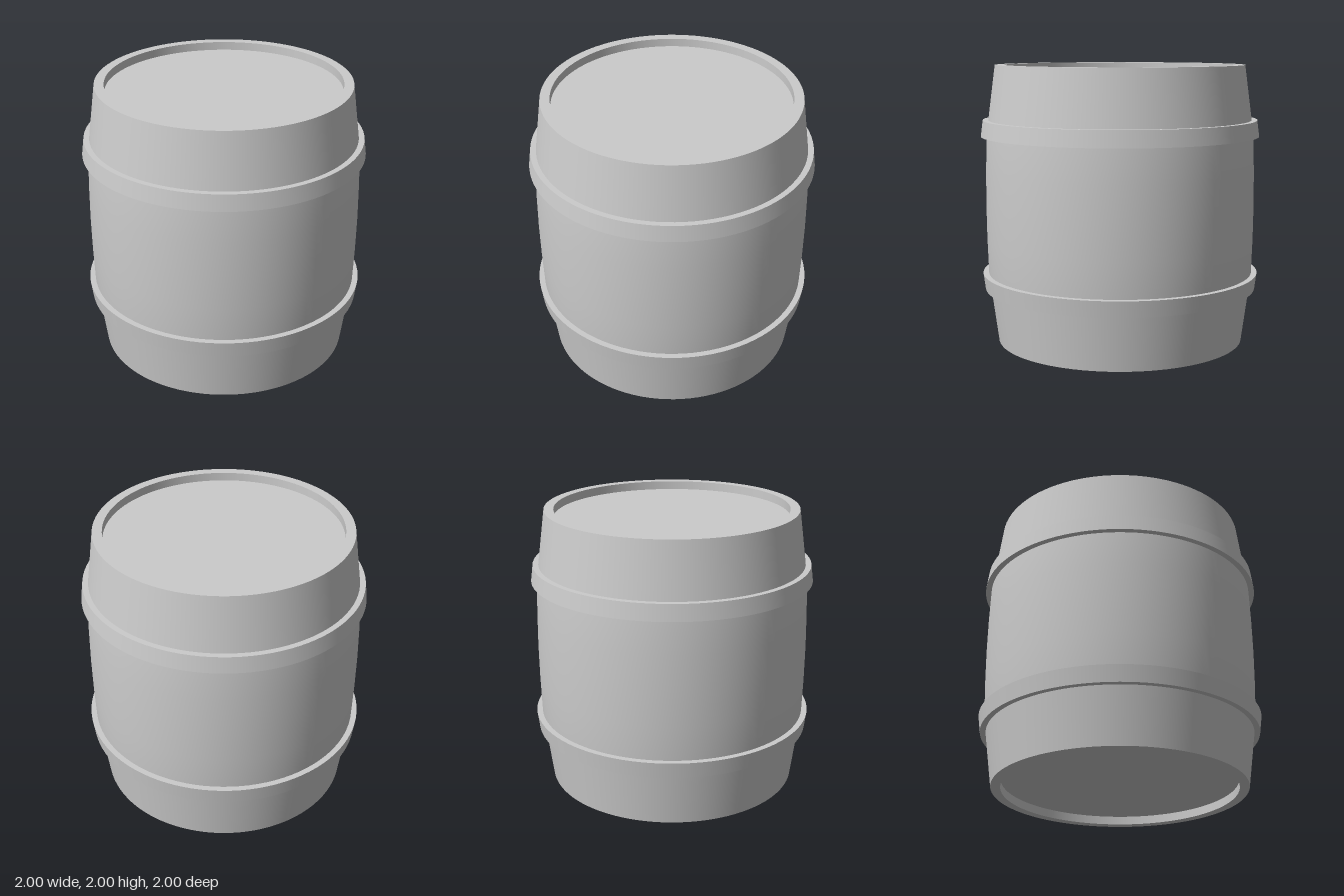
import * as THREE from 'three';
import { mergeGeometries } from 'three/addons/utils/BufferGeometryUtils.js';

const SEGMENTS = 96;
const material = new THREE.MeshStandardMaterial({ color: 0xcccccc });

const lathe = (points) =>
  new THREE.LatheGeometry(points.map(([r, y]) => new THREE.Vector2(r, y)), SEGMENTS);

// Revolves each span of the profile on its own, so every corner stays sharp
function sharpLathe(points) {
  return mergeGeometries(points.slice(1).map((p, i) => lathe([points[i], p])));
}

function part(name, geometry) {
  const mesh = new THREE.Mesh(geometry, material);
  mesh.name = name;
  return mesh;
}

export function createModel() {
  const barrel = new THREE.Group();
  barrel.name = 'barrel';
  const height = 2, rimOuter = 0.893, rimInner = 0.825, recess = 0.06;
  const flip = (points) => points.map(([r, y]) => [r, height - y]).reverse();

  // Bulging body, smooth from rim to rim
  const lowerHalf = [[rimOuter, 0], [0.945, 0.39], [0.959, 0.505], [0.967, 0.75]];
  barrel.add(part('body', lathe([...lowerHalf, [0.97, 1], ...flip(lowerHalf)])));

  // Recessed heads with a flat rim, and a flared hoop near each end
  const head = [[0, recess], [rimInner, recess], [rimInner, 0], [rimOuter, 0]];
  const hoop = [[0.935, 0.39], [0.985, 0.39], [1, 0.505], [0.95, 0.505]];
  barrel.add(
    part('bottomHead', sharpLathe(head)),
    part('topHead', sharpLathe(flip(head))),
    part('lowerHoop', sharpLathe(hoop)),
    part('upperHoop', sharpLathe(flip(hoop))),
  );
  return barrel;
}
